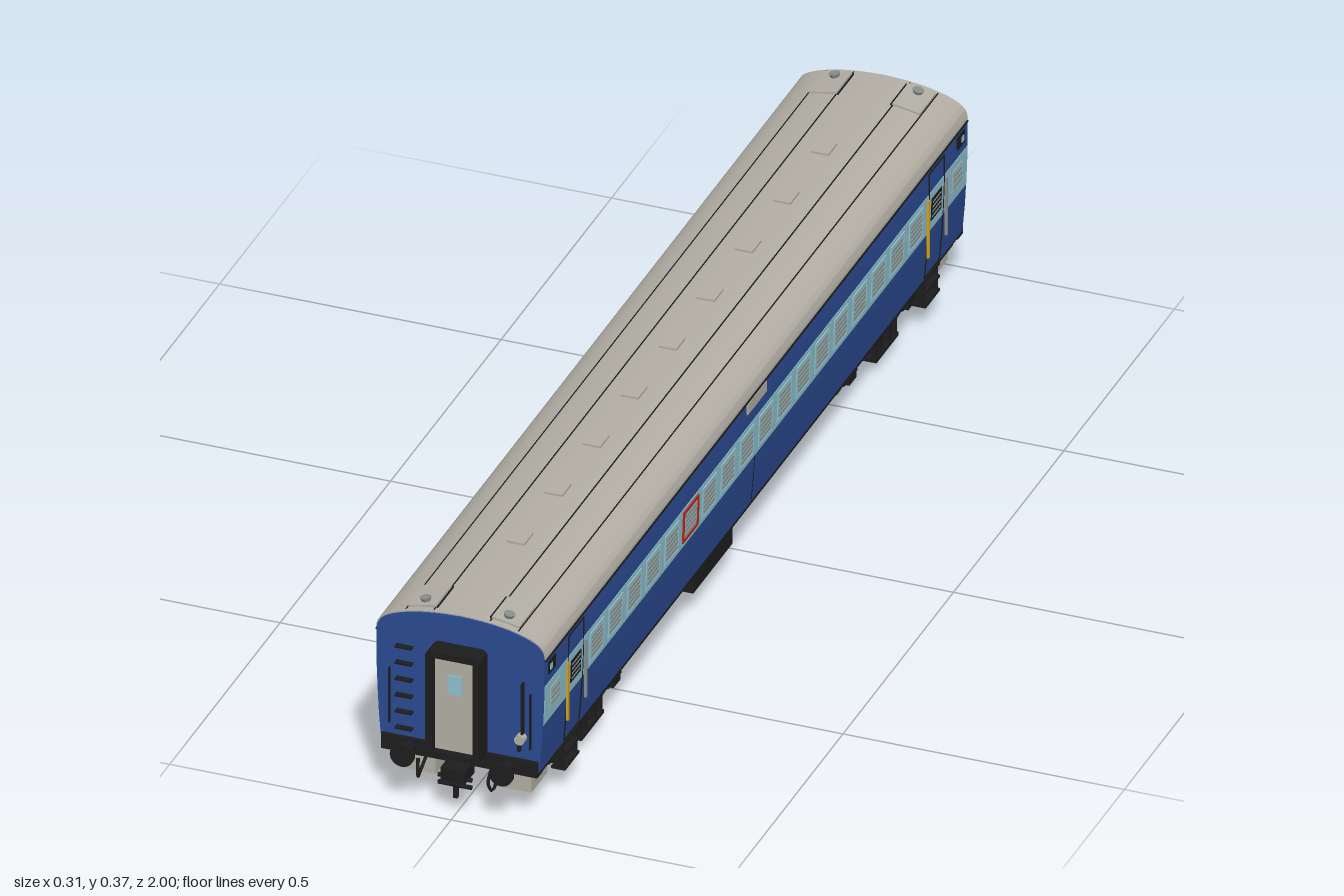
import * as THREE from 'three';
import { toCreasedNormals } from 'three/addons/utils/BufferGeometryUtils.js';

const mat = (name, color) => Object.assign(new THREE.MeshStandardMaterial({ color }), { name });
const blue = mat('body blue', 0x2b4a92), sky = mat('band light blue', 0x8fc3d0);
const grey = mat('roof grey', 0xb3afa5), black = mat('underframe black', 0x1d1d1e);
const steel = mat('wheel steel', 0x6c6b69), yellow = mat('rail yellow', 0xd8a21c);
const red = mat('exit red', 0xbb2420), glass = mat('window glass', 0xa3bfc1);
const slatGrey = mat('slat grey', 0x87908e);

// body outline: half width against height, then the roof arc
const SIDE = [[0.097, 0.140], [0.15, 0.1445], [0.2, 0.147], [0.25, 0.1488], [0.312, 0.149]];
const ROOF = new THREE.SplineCurve([[0.149, 0.312], [0.1465, 0.325], [0.137, 0.337], [0.115, 0.348],
  [0.08, 0.3575], [0.04, 0.363], [0, 0.365]].map(p => new THREE.Vector2(...p))).getPoints(20);
const sideX = y => {
  let i = 0;
  while (i < SIDE.length - 2 && y > SIDE[i + 1][0]) i++;
  const [a, b] = [SIDE[i], SIDE[i + 1]];
  return a[1] + (b[1] - a[1]) * (y - a[0]) / (b[0] - a[0]);
};
const roofY = x => {
  const i = Math.max(1, ROOF.findIndex(p => p.x <= Math.abs(x)));
  const a = ROOF[i - 1], b = ROOF[i];
  return a.y + (b.y - a.y) * (Math.abs(x) - a.x) / (b.x - a.x);
};

function add(parent, name, geo, material, x = 0, y = 0, z = 0) {
  const m = new THREE.Mesh(geo, material);
  m.name = name;
  m.position.set(x, y, z);
  parent.add(m);
  return m;
}
// box from its limits
const box = (p, name, m, x0, x1, y0, y1, z0, z1) => add(p, name,
  new THREE.BoxGeometry(x1 - x0, y1 - y0, z1 - z0), m, (x0 + x1) / 2, (y0 + y1) / 2, (z0 + z1) / 2);
// cylinder along an axis
function cyl(p, name, m, r, len, axis, x, y, z, seg = 16) {
  const g = new THREE.CylinderGeometry(r, r, len, seg);
  if (axis === 'x') g.rotateZ(Math.PI / 2);
  if (axis === 'z') g.rotateX(Math.PI / 2);
  return add(p, name, g, m, x, y, z);
}
// thin plate bent to the side wall
function sidePlate(p, name, m, y0, y1, z0, z1, out = 0.001) {
  const g = new THREE.BoxGeometry(0.003, y1 - y0, z1 - z0, 1, 4, 1).translate(0, (y0 + y1) / 2, (z0 + z1) / 2);
  const a = g.attributes.position;
  for (let i = 0; i < a.count; i++) a.setX(i, a.getX(i) - 0.0015 + out + sideX(a.getY(i)));
  g.computeVertexNormals();
  return add(p, name, g, m);
}
function sideFrame(p, name, m, y0, y1, z0, z1, w, out) {
  sidePlate(p, name, m, y0, y0 + w, z0, z1, out);
  sidePlate(p, name, m, y1 - w, y1, z0, z1, out);
  sidePlate(p, name, m, y0, y1, z0, z0 + w, out);
  sidePlate(p, name, m, y0, y1, z1 - w, z1, out);
}
const extrude = (shape, z0, z1) => new THREE.ExtrudeGeometry(shape,
  { depth: z1 - z0, bevelEnabled: false }).translate(0, 0, z0);
const mirrored = pts => [...pts, ...pts.slice(0, -1).reverse().map(p => new THREE.Vector2(-p.x, p.y))];

function buildShell(g) {
  const right = [...SIDE.map(([y, x]) => new THREE.Vector2(x, y)), ...ROOF.slice(1)];
  add(g, 'bodyShell', toCreasedNormals(extrude(new THREE.Shape(mirrored(right)), -0.958, 0.958), 0.5), blue);
  const outer = mirrored(ROOF.map(p => new THREE.Vector2(p.x * 1.012, p.y + 0.002)));
  const inner = mirrored(ROOF.map(p => new THREE.Vector2(p.x * 0.98, p.y - 0.003))).reverse();
  add(g, 'roof', toCreasedNormals(extrude(new THREE.Shape([...outer, ...inner]), -0.955, 0.955), 0.5), grey);
  box(g, 'floor', black, -0.137, 0.137, 0.089, 0.099, -0.955, 0.955);
  for (let i = -4; i <= 4; i++) {
    const z = i * 0.172;
    box(g, 'roofVentilatorNeck', grey, -0.01, 0.01, 0.364, 0.371, z - 0.014, z + 0.014);
    box(g, 'roofVentilatorCap', grey, -0.016, 0.016, 0.370, 0.374, z - 0.021, z + 0.021);
  }
}

function buildSide(g) {
  sidePlate(g, 'lightBand', sky, 0.188, 0.262, -0.956, 0.956, 0.001);
  sidePlate(g, 'gutter', black, 0.309, 0.312, -0.955, 0.955, 0.0025);
  sidePlate(g, 'centreSeam', black, 0.1, 0.188, -0.001, 0.001, 0.0007);
  sidePlate(g, 'destinationBoard', grey, 0.288, 0.308, -0.042, 0.042, 0.003);
  // slatted windows, one of them the red framed exit
  for (let i = 0; i < 18; i++) {
    const z = (i - 8.5) * 0.085;
    sidePlate(g, 'windowPane', glass, 0.2, 0.252, z - 0.029, z + 0.029, 0.002);
    for (let k = 0; k < 5; k++)
      sidePlate(g, 'windowSlat', slatGrey, 0.206 + k * 0.009, 0.2095 + k * 0.009, z - 0.025, z + 0.025, 0.003);
    if (i === 12) sideFrame(g, 'exitFrame', red, 0.198, 0.257, z - 0.035, z + 0.035, 0.005, 0.0035);
    else sideFrame(g, 'windowFrame', sky, 0.197, 0.255, z - 0.031, z + 0.031, 0.003, 0.003);
  }
  // doors, lavatory windows, handrails and steps
  for (const s of [1, -1]) {
    const c = s * 0.816;
    sideFrame(g, 'doorSeam', black, 0.1, 0.302, c - 0.035, c + 0.035, 0.002, 0.0018);
    sidePlate(g, 'doorWindow', black, 0.206, 0.248, c - 0.023, c + 0.023, 0.002);
    for (let k = 0; k < 4; k++)
      sidePlate(g, 'doorWindowSlat', slatGrey, 0.212 + k * 0.009, 0.2145 + k * 0.009, c - 0.019, c + 0.019, 0.003);
    sidePlate(g, 'endWindow', glass, 0.206, 0.248, s * 0.91 - 0.022, s * 0.91 + 0.022, 0.002);
    for (let k = 0; k < 3; k++)
      sidePlate(g, 'endWindowSlat', slatGrey, 0.214 + k * 0.011, 0.2175 + k * 0.011, s * 0.91 - 0.018, s * 0.91 + 0.018, 0.003);
    sidePlate(g, 'lampPanel', black, 0.278, 0.302, s * 0.925 - 0.016, s * 0.925 + 0.016, 0.002);
    sidePlate(g, 'lampLens', sky, 0.284, 0.295, s * 0.931 - 0.005, s * 0.931 + 0.005, 0.003);
    [[c + 0.041, yellow], [c - 0.041, slatGrey]].forEach(([z, m]) =>
      box(g, 'doorHandrail', m, 0.149, 0.153, 0.146, 0.256, z - 0.0025, z + 0.0025));
    for (const y of [0.042, 0.068, 0.092]) box(g, 'stepTread', black, 0.118, 0.143, y, y + 0.005, c - 0.032, c + 0.032);
    for (const z of [c - 0.032, c + 0.028]) box(g, 'stepHanger', black, 0.124, 0.14, 0.042, 0.1, z, z + 0.004);
  }
  // seams along the roof
  for (const x of [0.05, 0.1])
    box(g, 'roofSeam', black, x - 0.001, x + 0.001, roofY(x) + 0.001, roofY(x) + 0.0032, -0.95, 0.95);
  box(g, 'soleBar', black, 0.118, 0.13, 0.076, 0.092, -0.94, 0.94);
  box(g, 'centreSill', black, 0.02, 0.03, 0.074, 0.092, -0.94, 0.94);
}

function buildEnd(g) {
  // gangway bellows with a door inside
  const ring = new THREE.Shape();
  ring.moveTo(-0.048, 0.115).lineTo(0.048, 0.115).lineTo(0.048, 0.305).lineTo(0.041, 0.312)
    .lineTo(-0.041, 0.312).lineTo(-0.048, 0.305).closePath();
  ring.holes.push(new THREE.Path().moveTo(-0.036, 0.121).lineTo(-0.036, 0.3).lineTo(0.036, 0.3).lineTo(0.036, 0.121).closePath());
  add(g, 'gangwayFrame', extrude(ring, 0.955, 0.995), black);
  box(g, 'gangwayDoor', grey, -0.037, 0.037, 0.12, 0.301, 0.958, 0.982);
  box(g, 'gangwayDoorWindow', sky, -0.013, 0.013, 0.23, 0.266, 0.98, 0.984);
  for (let i = 0; i < 6; i++) box(g, 'ladderRung', black, -0.113, -0.083, 0.134 + i * 0.031, 0.137 + i * 0.031, 0.956, 0.969);
  box(g, 'endHandrail', black, 0.111, 0.114, 0.165, 0.265, 0.958, 0.968);
  for (const x of [-0.125, 0.125]) box(g, 'cornerHandrail', black, x - 0.001, x + 0.001, 0.14, 0.245, 0.957, 0.964);
  cyl(g, 'tailLamp', grey, 0.009, 0.014, 'z', 0.11, 0.16, 0.966);
  box(g, 'tailLampBracket', black, 0.104, 0.109, 0.135, 0.158, 0.957, 0.967);
  // buffer beam, coupler and hoses
  box(g, 'bufferBeam', black, -0.139, 0.139, 0.089, 0.118, 0.94, 0.964);
  box(g, 'couplerHead', black, -0.022, 0.022, 0.068, 0.092, 0.95, 0.992);
  for (const y of [0.058, 0.072]) cyl(g, 'couplerLink', black, 0.004, 0.06, 'x', 0, y, 0.982, 8);
  box(g, 'hangingHook', black, -0.004, 0.004, 0.032, 0.07, 0.974, 0.982);
  for (const s of [1, -1]) {
    cyl(g, 'bufferShank', black, 0.011, 0.035, 'z', s * 0.088, 0.104, 0.976);
    cyl(g, 'bufferHead', black, 0.021, 0.008, 'z', s * 0.088, 0.104, 0.996, 24);
    const hose = new THREE.CatmullRomCurve3([[0.058, 0.093, 0.962], [0.06, 0.075, 0.985], [0.066, 0.06, 0.982], [0.072, 0.085, 0.966]]
      .map(([x, y, z]) => new THREE.Vector3(s * x, y, z)));
    add(g, 'brakeHose', new THREE.TubeGeometry(hose, 12, 0.003, 6), black);
    box(g, 'waterTank', grey, s > 0 ? 0.05 : -0.12, s > 0 ? 0.12 : -0.05, 0.046, 0.092, 0.87, 0.942);
    // roof hatch with its own small vent
    const x = s * 0.074, tilt = -s * 0.19;
    add(g, 'roofHatch', new THREE.BoxGeometry(0.05, 0.005, 0.072), grey, x, roofY(x) + 0.003, 0.906).rotation.z = tilt;
    add(g, 'hatchVent', new THREE.CylinderGeometry(0.01, 0.007, 0.008, 12), slatGrey, x, roofY(x) + 0.008, 0.925).rotation.z = tilt;
    box(g, 'hatchEdge', black, s * 0.047 - 0.001, s * 0.047 + 0.001, 0.36, 0.367, 0.87, 0.942);
  }
}

function buildBogie(g, zc) {
  const b = new THREE.Group();
  b.name = 'bogie';
  b.position.z = zc;
  g.add(b);
  for (const z of [-0.133, 0.133]) {
    cyl(b, 'axle', steel, 0.008, 0.2, 'x', 0, 0.045, z, 12);
    for (const s of [1, -1]) {
      cyl(b, 'wheel', steel, 0.041, 0.012, 'x', s * 0.081, 0.045, z, 28);
      cyl(b, 'wheelFlange', steel, 0.045, 0.004, 'x', s * 0.073, 0.045, z, 28);
      box(b, 'axleBox', black, s * 0.1 - 0.012, s * 0.1 + 0.012, 0.032, 0.06, z - 0.016, z + 0.016);
      for (const d of [-0.026, 0.026]) cyl(b, 'axleSpring', black, 0.009, 0.03, 'y', s * 0.1, 0.052, z + d, 10);
    }
    box(b, 'brakeBeam', black, -0.085, 0.085, 0.036, 0.044, z * 0.62 - 0.004, z * 0.62 + 0.004);
    box(b, 'crossMember', black, -0.1, 0.1, 0.058, 0.076, z * 0.5 - 0.012, z * 0.5 + 0.012);
  }
  for (const s of [1, -1]) {
    box(b, 'sideFrame', black, s * 0.1 - 0.007, s * 0.1 + 0.007, 0.062, 0.08, -0.17, 0.17);
    for (const z of [-0.045, 0.045]) box(b, 'springHanger', black, s * 0.115 - 0.004, s * 0.115 + 0.004, 0.026, 0.085, z - 0.004, z + 0.004);
    for (const z of [-0.02, 0.02]) cyl(b, 'bolsterSpring', black, 0.014, 0.045, 'y', s * 0.105, 0.052, z, 12);
  }
  box(b, 'springPlank', black, -0.121, 0.121, 0.023, 0.03, -0.05, 0.05);
  box(b, 'bolster', black, -0.115, 0.115, 0.07, 0.09, -0.03, 0.03);
}

export function createModel() {
  const model = new THREE.Group();
  model.name = 'passengerCoach';
  buildShell(model);
  // one half, repeated after a half turn
  const half = new THREE.Group();
  half.name = 'frontHalf';
  buildSide(half);
  buildEnd(half);
  buildBogie(half, 0.667);
  const back = half.clone();
  back.name = 'backHalf';
  back.rotation.y = Math.PI;
  model.add(half, back);
  // equipment under the floor
  for (let i = -5; i <= 5; i++) box(model, 'floorBeam', black, -0.125, 0.125, 0.078, 0.092, i * 0.08 - 0.005, i * 0.08 + 0.005);
  box(model, 'batteryBox', black, 0.06, 0.13, 0.046, 0.092, 0.058, 0.235);
  box(model, 'controlBox', black, -0.13, -0.07, 0.052, 0.092, 0.04, 0.165);
  box(model, 'airReservoir', black, -0.02, 0.05, 0.063, 0.092, -0.19, -0.08);
  box(model, 'junctionBox', black, 0.04, 0.09, 0.076, 0.092, -0.27, -0.225);
  cyl(model, 'generator', black, 0.017, 0.06, 'x', 0.03, 0.062, -0.437);
  box(model, 'generatorBracket', black, 0.02, 0.04, 0.062, 0.092, -0.442, -0.432);
  return model;
}
